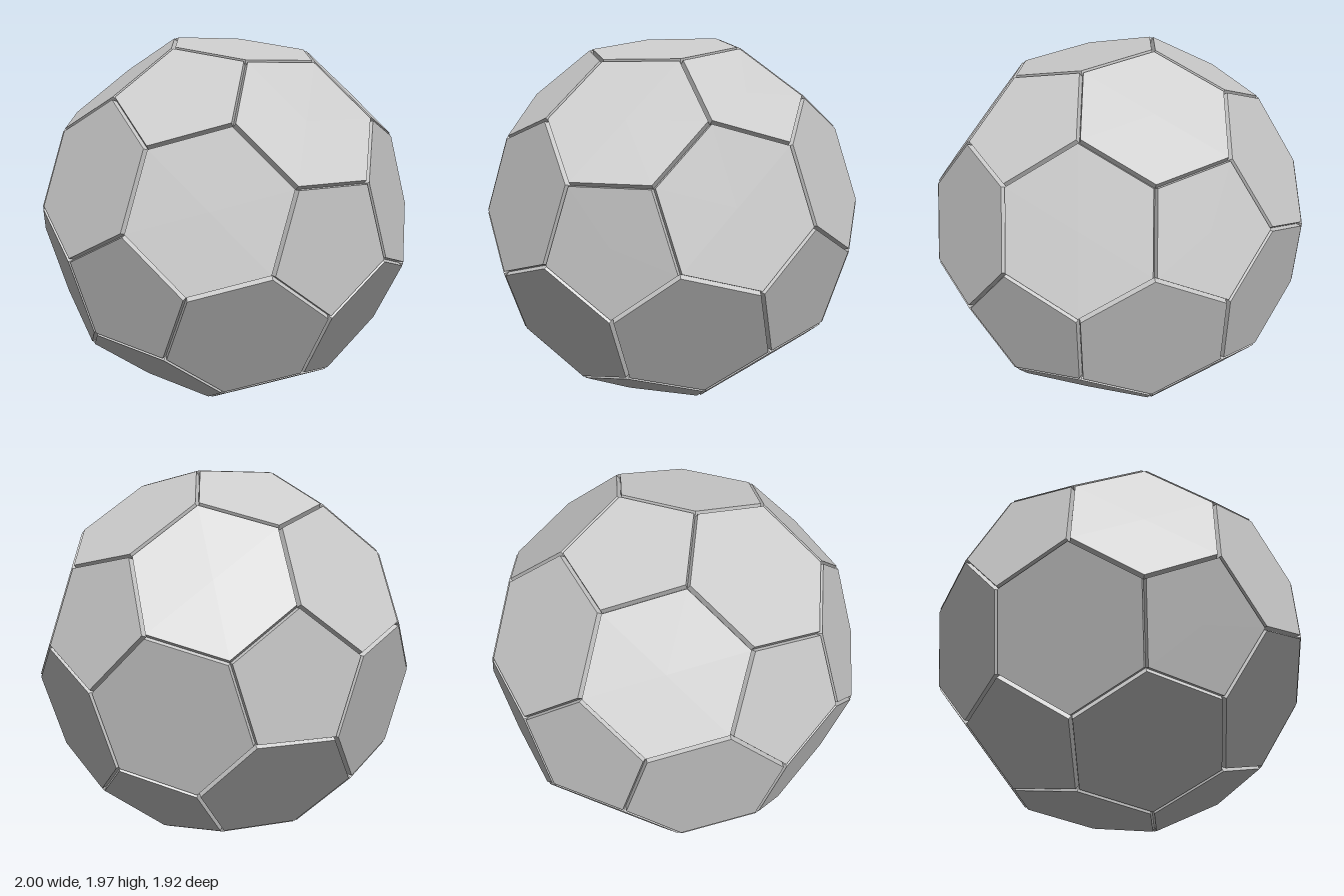
import * as THREE from 'three';

const PHI = (1 + Math.sqrt(5)) / 2;
const EDGE = 0.4005;  // side length of every panel
const THICK = 0.03;   // panel thickness

// The 12 corners of an icosahedron whose edges are three panel sides long
function icosahedronCorners() {
  const corners = [];
  for (const s of [-1, 1]) for (const t of [-PHI, PHI]) {
    corners.push(new THREE.Vector3(0, s, t), new THREE.Vector3(s, t, 0), new THREE.Vector3(t, 0, s));
  }
  return corners.map(c => c.multiplyScalar(1.5 * EDGE));
}

export function createModel() {
  const model = new THREE.Group();
  model.name = 'panelledBall';
  const ball = new THREE.Group();
  ball.name = 'shell';
  model.add(ball);

  const material = new THREE.MeshStandardMaterial({ color: 0xcccccc, flatShading: true });
  const prism = (radius, sides) =>
    new THREE.CylinderGeometry(radius, radius, THICK, sides).translate(0, THICK / 2, 0);
  const pentagon = prism(EDGE / (2 * Math.sin(Math.PI / 5)), 5);
  const hexagon = prism(EDGE, 6);

  // Straight-walled panel standing on the shell; one corner points along cornerDir
  function addPanel(name, geometry, center, cornerDir) {
    const up = center.clone().normalize();
    const forward = cornerDir.clone().addScaledVector(up, -cornerDir.dot(up)).normalize();
    const side = new THREE.Vector3().crossVectors(up, forward);
    const mesh = new THREE.Mesh(geometry, material);
    mesh.name = name;
    mesh.quaternion.setFromRotationMatrix(new THREE.Matrix4().makeBasis(side, up, forward));
    mesh.position.copy(center);
    ball.add(mesh);
  }

  const corners = icosahedronCorners();
  const adjacent = (a, b) => Math.abs(a.distanceTo(b) - 3 * EDGE) < 0.01;

  // Pentagons where the icosahedron corners are cut off
  for (const c of corners) {
    const ring = corners.filter(n => adjacent(c, n));
    const center = new THREE.Vector3();
    ring.forEach(n => center.add(n));
    center.multiplyScalar(1 / 5).lerp(c, 2 / 3);
    addPanel('pentagonPanel', pentagon, center, ring[0].clone().sub(c));
  }

  // Hexagons on the icosahedron faces
  for (let i = 0; i < 12; i++) for (let j = i + 1; j < 12; j++) for (let k = j + 1; k < 12; k++) {
    const [a, b, c] = [corners[i], corners[j], corners[k]];
    if (!adjacent(a, b) || !adjacent(b, c) || !adjacent(a, c)) continue;
    const center = a.clone().add(b).add(c).divideScalar(3);
    addPanel('hexagonPanel', hexagon, center, a.clone().sub(c));
  }

  // Turn one pentagon to face the front and stand the ball on the ground
  ball.rotation.x = Math.atan(1 / PHI);
  model.updateMatrixWorld(true);
  ball.position.y = -new THREE.Box3().setFromObject(model, true).min.y;
  return model;
}
